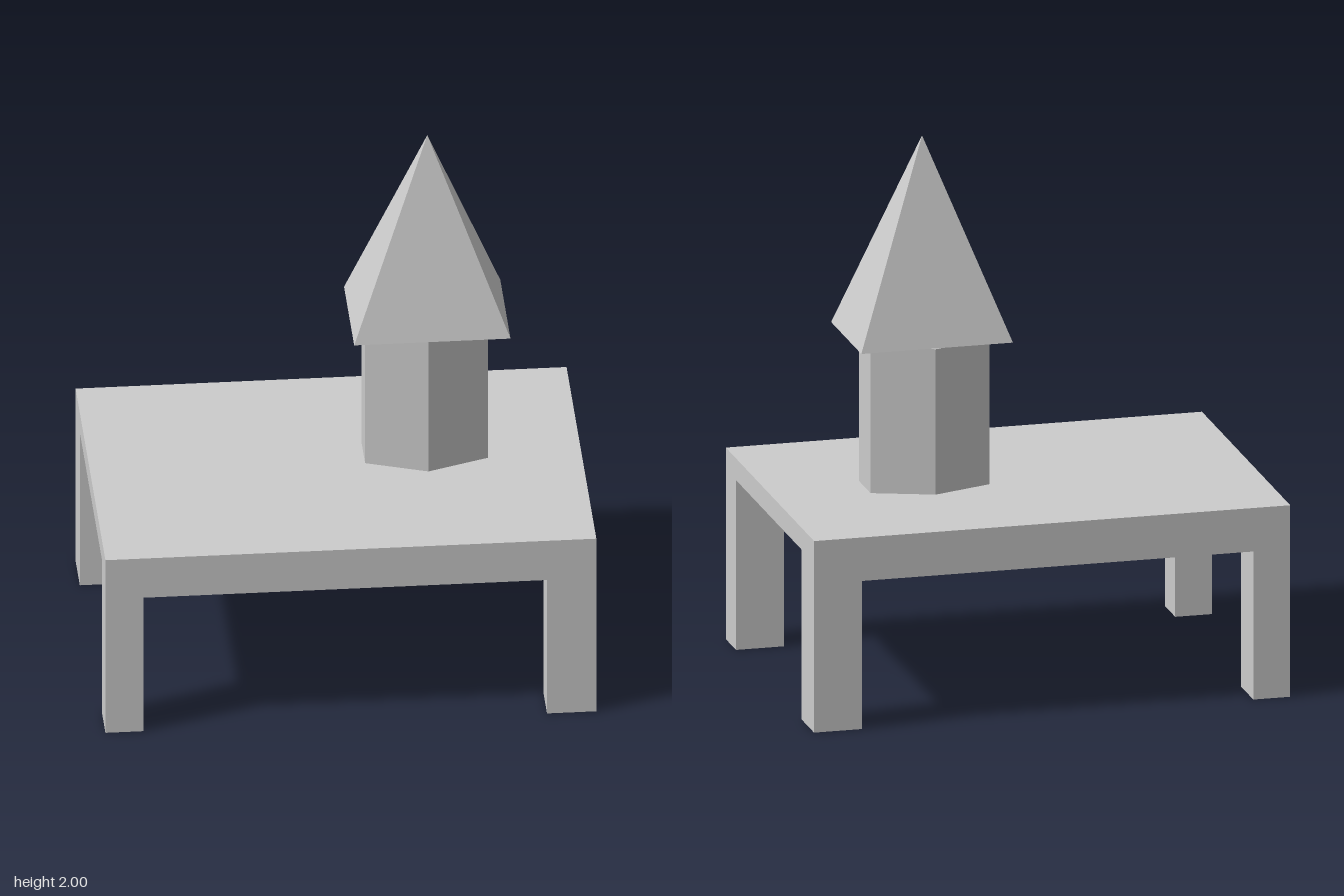
import * as THREE from 'three';

const material = new THREE.MeshStandardMaterial({ color: 0xcccccc, flatShading: true });

function add(group, name, geometry, x = 0, y = 0, z = 0) {
  const mesh = new THREE.Mesh(geometry, material);
  mesh.name = name;
  mesh.position.set(x, y, z);
  group.add(mesh);
  return mesh;
}

// Two legs joined by a deep apron, as one arch-shaped slab from z0 to z1
function legFrame(z0, z1) {
  const outline = [
    [-0.87, 0], [-0.735, 0], [-0.735, 0.545], [0.695, 0.545],
    [0.695, 0], [0.87, 0], [0.87, 0.705], [-0.87, 0.705],
  ].map(([x, y]) => new THREE.Vector2(x, y));
  const geometry = new THREE.ExtrudeGeometry(new THREE.Shape(outline), {
    depth: z1 - z0, bevelEnabled: false,
  });
  return geometry.translate(0, 0, z0);
}

export function createModel() {
  const model = new THREE.Group();
  model.name = 'tableWithTower';

  // Table: front and back leg frames with a thinner top between them
  const table = new THREE.Group();
  table.name = 'table';
  add(table, 'frontLegFrame', legFrame(0.465, 0.605));
  add(table, 'backLegFrame', legFrame(-0.605, -0.435));
  add(table, 'tableTop', new THREE.BoxGeometry(1.74, 0.08, 0.9), 0, 0.665, 0.015);
  model.add(table);

  // Tower: stretched hexagonal column, floating just above the table
  const tower = new THREE.Group();
  tower.name = 'tower';
  const column = new THREE.CylinderGeometry(1, 1, 0.535, 6);
  column.scale(0.2175 / Math.cos(Math.PI / 6), 1, 0.155);
  add(tower, 'column', column, 0.318, 0.987, -0.047);

  // Four-sided roof with a rectangular base
  const roof = new THREE.ConeGeometry(Math.SQRT2, 0.725, 4);
  roof.rotateY(Math.PI / 4).scale(0.277, 1, 0.207);
  add(tower, 'roof', roof, 0.328, 1.6375, -0.052);
  model.add(tower);

  return model;
}
